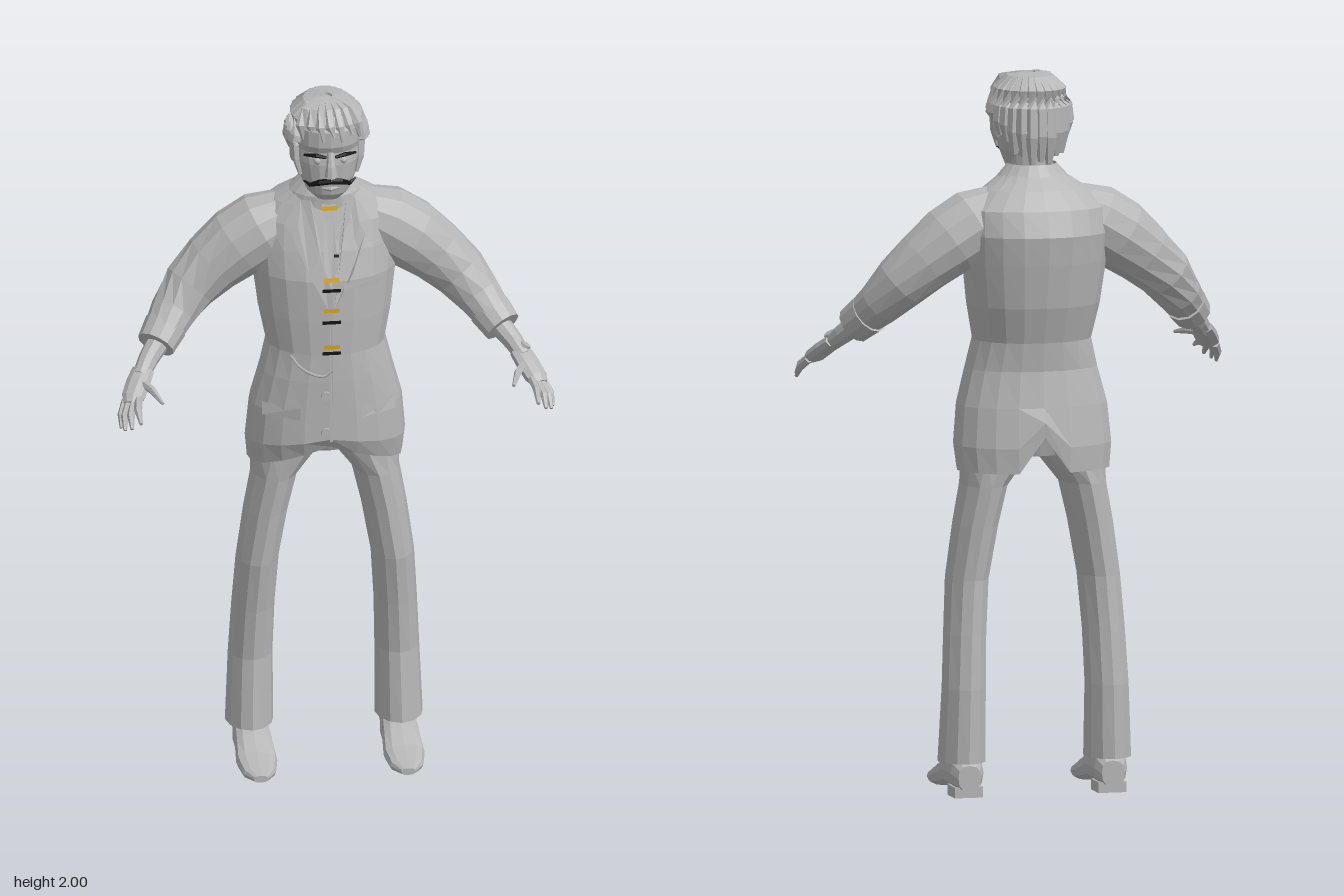
import * as THREE from 'three';

const grey = new THREE.MeshStandardMaterial({ color: 0xb6b6b6, side: THREE.DoubleSide });
grey.name = 'plain grey';
const black = new THREE.MeshStandardMaterial({ color: 0x141414, side: THREE.DoubleSide });
black.name = 'black';
const gold = new THREE.MeshStandardMaterial({ color: 0xd9a520, side: THREE.DoubleSide });
gold.name = 'gold';

const V = (x, y, z) => new THREE.Vector3(x, y, z);
const pow = (c, p) => Math.sign(c) * Math.abs(c) ** (2 / p);

// Horizontal ring from half width and front/back depth
function flatRing([y, cx, hx, zf, zb], p = 2, n = 18) {
  return Array.from({ length: n }, (_, j) => {
    const t = (j / n) * Math.PI * 2;
    return V(cx + hx * pow(Math.sin(t), p), y, (zf + zb) / 2 + ((zf - zb) / 2) * pow(Math.cos(t), p));
  });
}

// Faceted skin over a list of rings
function loft(rings, capStart = true, capEnd = true) {
  const n = rings[0].length, pts = [], idx = [];
  rings.forEach(r => r.forEach(v => pts.push(v.x, v.y, v.z)));
  for (let i = 0; i < rings.length - 1; i++) for (let j = 0; j < n; j++) {
    const a = i * n + j, b = i * n + (j + 1) % n;
    idx.push(a, b, a + n, b, b + n, a + n);
  }
  const cap = (i, flip) => {
    const c = rings[i].reduce((s, v) => s.add(v), V(0, 0, 0)).divideScalar(n);
    const k = pts.push(c.x, c.y, c.z) / 3 - 1;
    for (let j = 0; j < n; j++) {
      const a = i * n + j, b = i * n + (j + 1) % n;
      flip ? idx.push(k, b, a) : idx.push(k, a, b);
    }
  };
  if (capStart) cap(0, true);
  if (capEnd) cap(rings.length - 1, false);
  const g = new THREE.BufferGeometry();
  g.setAttribute('position', new THREE.Float32BufferAttribute(pts, 3));
  g.setIndex(idx);
  const flat = g.toNonIndexed();
  flat.computeVertexNormals();
  return flat;
}

// Limb through points [x, y, z, radius]; wide stretches it sideways
function limb(path, n = 10, wide = 1) {
  const p = path.map(a => V(a[0], a[1], a[2]));
  return loft(p.map((c, i) => {
    const t = p[Math.min(i + 1, p.length - 1)].clone().sub(p[Math.max(i - 1, 0)]).normalize();
    const ref = Math.abs(t.y) > 0.95 ? V(0, 0, 1) : V(0, 1, 0);
    const u = ref.cross(t).normalize(), v = t.clone().cross(u);
    return Array.from({ length: n }, (_, j) => {
      const a = (j / n) * Math.PI * 2;
      return c.clone().addScaledVector(u, Math.cos(a) * path[i][3] * wide).addScaledVector(v, Math.sin(a) * path[i][3]);
    });
  }));
}

// Jacket sections: y, centre x, half width, front z, back z
const JACKET = [
  [0.90, 0, 0.215, 0.05, -0.222], [0.97, 0, 0.222, 0.07, -0.226], [1.08, 0, 0.212, 0.07, -0.212],
  [1.18, 0, 0.185, 0.07, -0.198], [1.26, 0, 0.165, 0.068, -0.208], [1.36, 0, 0.185, 0.068, -0.24],
  [1.48, 0, 0.2, 0.064, -0.26], [1.56, 0, 0.205, 0.042, -0.27], [1.63, 0, 0.2, 0.015, -0.245],
  [1.68, 0, 0.145, 0.0, -0.2], [1.72, 0, 0.085, -0.005, -0.155]
];
const JP = 2.15;

// Depth of the jacket front at x, y
function frontZ(x, y) {
  let i = 0;
  while (i < JACKET.length - 2 && JACKET[i + 1][0] < y) i++;
  const a = JACKET[i], b = JACKET[i + 1], k = (y - a[0]) / (b[0] - a[0]);
  const [, , hx, zf, zb] = a.map((v, q) => v + (b[q] - v) * k);
  const s = Math.min(1, Math.abs(x) / hx);
  return (zf + zb) / 2 + ((zf - zb) / 2) * (1 - s ** JP) ** (1 / JP);
}

// Thin cloth plate laid on the jacket front
function plate(outline, lift = 0.006) {
  const g = new THREE.ShapeGeometry(new THREE.Shape(outline.map(a => new THREE.Vector2(...a))));
  const p = g.attributes.position;
  for (let i = 0; i < p.count; i++) p.setZ(i, frontZ(p.getX(i), p.getY(i)) + lift);
  const flat = g.toNonIndexed();
  flat.computeVertexNormals();
  return flat;
}
const rect = (x, y, w, h) => [[x - w, y - h], [x + w, y - h], [x + w, y + h], [x - w, y + h]];

export function createModel() {
  const model = new THREE.Group();
  const add = (name, geo, mat = grey, parent = model) => {
    const m = new THREE.Mesh(geo, mat);
    m.name = name;
    parent.add(m);
    return m;
  };

  // Jacket with cutaway front hem and back vent
  const rings = JACKET.map(s => flatRing(s, JP, 20));
  rings.slice(0, 2).forEach((r, i) => r.forEach((v, j) => {
    if (v.z > -0.08) v.y += (i ? 0.035 : 0.075) * Math.max(0, 1 - Math.abs(v.x) / 0.21);
    if (j === 10) v.y += i ? 0.07 : 0.1;
  }));
  add('jacket', loft(rings, false, true));
  add('pelvis', loft([[0.94, 0, 0.1, 0.0, -0.16], [1.0, 0, 0.17, 0.03, -0.18], [1.1, 0, 0.17, 0.04, -0.17]].map(s => flatRing(s))));
  add('collar', loft([[1.665, 0, 0.125, 0.006, -0.18], [1.71, 0, 0.1, 0.006, -0.165], [1.745, 0, 0.068, -0.01, -0.14]]
    .map(s => flatRing(s)), false, false));

  // Shirt front, tie, lapels, placket and pockets
  add('shirtFront', plate([[0, 1.46], [0.04, 1.6], [0.05, 1.7], [-0.05, 1.7], [-0.04, 1.6]], 0.004));
  add('tie', plate([[0, 1.47], [0.02, 1.52], [0.012, 1.65], [0.02, 1.69], [-0.02, 1.69], [-0.012, 1.65], [-0.02, 1.52]], 0.009));
  add('placket', plate([[-0.004, 1.0], [0.004, 1.0], [0.004, 1.26], [0.004, 1.46], [-0.004, 1.46], [-0.004, 1.26]], 0.005));
  for (const s of [-1, 1]) {
    const flip = o => o.map(([x, y]) => [x * s, y]);
    add('lapel', plate(flip([[0.008, 1.4], [0.06, 1.5], [0.1, 1.6], [0.085, 1.63], [0.105, 1.645], [0.075, 1.7], [0.05, 1.7], [0.03, 1.56]]), 0.008));
    add('pocketFlap', plate(flip(rect(0.135, 1.085, 0.05, 0.018)), 0.009));
  }
  add('breastPocket', plate(rect(0.085, 1.465, 0.05, 0.011), 0.008));
  for (const y of [1.68, 1.49, 1.4, 1.29]) add('goldTrim', plate(rect(0, y, 0.022, 0.006), 0.013), gold);
  for (const y of [1.46, 1.365, 1.272]) add('blackClasp', plate(rect(0, y, 0.026, 0.005), 0.014), black);
  add('tiePin', plate(rect(0.016, 1.555, 0.007, 0.004), 0.013), black);
  for (const y of [1.03, 1.14]) {
    const b = add('button', new THREE.CylinderGeometry(0.013, 0.013, 0.008, 10));
    b.rotation.x = Math.PI / 2;
    b.position.set(-0.015, y, frontZ(0, y) + 0.004);
  }
  const chain = [[-0.11, 1.255], [-0.085, 1.225], [-0.05, 1.205], [-0.02, 1.2], [0, 1.215]].map(([x, y]) => V(x, y, frontZ(x, y) + 0.004));
  add('watchChain', new THREE.TubeGeometry(new THREE.CatmullRomCurve3(chain), 14, 0.004, 5));

  // Arms, hands, legs and shoes
  for (const s of [-1, 1]) {
    const side = new THREE.Group();
    side.name = s > 0 ? 'leftLimbs' : 'rightLimbs';
    model.add(side);
    const path = a => a.map(([x, y, z, r]) => [x * s, y, z, r]);
    add('sleeve', limb(path([[0.1, 1.62, -0.1, 0.075], [0.17, 1.585, -0.1, 0.1], [0.24, 1.54, -0.1, 0.1],
      [0.31, 1.485, -0.095, 0.088], [0.375, 1.425, -0.08, 0.077], [0.425, 1.365, -0.045, 0.064], [0.47, 1.31, 0.01, 0.051]]), 12), grey, side);
    add('cuff', limb(path([[0.448, 1.335, -0.02, 0.06], [0.48, 1.298, 0.02, 0.054]]), 12), grey, side);
    add('forearm', limb(path([[0.46, 1.315, 0.0, 0.034], [0.505, 1.268, 0.05, 0.028], [0.53, 1.238, 0.09, 0.024]]), 9), grey, side);
    add('palm', limb(path([[0.522, 1.248, 0.075, 0.02], [0.54, 1.225, 0.11, 0.022], [0.558, 1.2, 0.145, 0.021], [0.566, 1.188, 0.165, 0.014]]), 9, 1.6), grey, side);
    const fingers = [
      [[0.545, 1.2, 0.16], [0.552, 1.19, 0.21], [0.55, 1.172, 0.262]],
      [[0.558, 1.193, 0.16], [0.572, 1.175, 0.21], [0.573, 1.15, 0.245]],
      [[0.57, 1.19, 0.155], [0.587, 1.168, 0.195], [0.59, 1.14, 0.228]],
      [[0.578, 1.19, 0.14], [0.594, 1.163, 0.175], [0.597, 1.135, 0.2]],
      [[0.532, 1.23, 0.11], [0.506, 1.227, 0.165], [0.486, 1.215, 0.228]]
    ];
    fingers.forEach((f, i) => add(i < 4 ? 'finger' : 'thumb',
      limb(path(f.map((q, k) => [...q, [0.012, 0.011, 0.005][k]])), 6), grey, side));

    add('trouserLeg', loft([
      [0.095, 0.207, 0.067, -0.015, -0.188], [0.3, 0.203, 0.062, -0.033, -0.188], [0.45, 0.197, 0.06, -0.018, -0.178],
      [0.6, 0.187, 0.06, 0.004, -0.167], [0.75, 0.163, 0.063, 0.01, -0.175], [0.86, 0.14, 0.066, 0.016, -0.182],
      [0.94, 0.108, 0.098, 0.02, -0.185], [1.05, 0.09, 0.095, 0.02, -0.18]
    ].map(([y, x, ...r]) => flatRing([y, x * s, ...r], 1.85, 12))), grey, side);

    // Shoe sections along z: z, half width, sole height, top height
    const shoe = [[-0.178, 0.032, 0.02, 0.09], [-0.15, 0.047, 0.018, 0.115], [-0.07, 0.05, 0.022, 0.115], [-0.01, 0.053, 0.012, 0.09],
      [0.05, 0.057, 0.005, 0.06], [0.11, 0.046, 0.006, 0.044], [0.15, 0.02, 0.014, 0.034]];
    add('shoe', loft(shoe.map(([z, w, lo, hi]) => Array.from({ length: 12 }, (_, j) => {
      const t = (j / 12) * Math.PI * 2;
      return V(0.204 * s + w * pow(Math.cos(t), 2.6), (lo + hi) / 2 + ((hi - lo) / 2) * pow(Math.sin(t), 2.6), z);
    }))), grey, side);
    add('shoeHeel', new THREE.BoxGeometry(0.08, 0.03, 0.08), grey, side).position.set(0.204 * s, 0.015, -0.13);
  }
  const watch = add('wristwatch', new THREE.CylinderGeometry(0.015, 0.015, 0.012, 10));
  watch.position.set(0.535, 1.265, 0.078);
  watch.rotation.z = -0.6;

  // Head and neck
  const head = new THREE.Group();
  head.name = 'head';
  model.add(head);
  add('neck', loft([[1.66, 0, 0.06, -0.02, -0.13], [1.79, 0, 0.058, -0.02, -0.13]].map(s => flatRing(s))), grey, head);
  add('skull', loft([
    [1.712, 0, 0.035, 0.024, -0.05], [1.735, 0, 0.06, 0.044, -0.09], [1.78, 0, 0.08, 0.055, -0.13], [1.83, 0, 0.092, 0.058, -0.15],
    [1.865, 0, 0.095, 0.053, -0.16], [1.885, 0, 0.097, 0.062, -0.162], [1.93, 0, 0.096, 0.062, -0.162], [1.965, 0, 0.078, 0.038, -0.14],
    [1.988, 0, 0.046, -0.005, -0.1]
  ].map(s => flatRing(s, 2.2, 20))), grey, head);
  add('nose', limb([[0, 1.868, 0.05, 0.009], [0, 1.83, 0.064, 0.013], [0, 1.803, 0.066, 0.018], [0, 1.793, 0.058, 0.012]], 8), grey, head);
  add('lowerLip', limb([[-0.025, 1.758, 0.042, 0.004], [0, 1.758, 0.052, 0.008], [0.025, 1.758, 0.042, 0.004]], 6), grey, head);
  for (const s of [-1, 1]) {
    add('eyebrow', limb([[0.012 * s, 1.857, 0.061, 0.004], [0.04 * s, 1.863, 0.057, 0.006], [0.072 * s, 1.857, 0.034, 0.003]], 6), black, head);
    add('eye', new THREE.SphereGeometry(0.011, 8, 6), grey, head).position.set(0.036 * s, 1.842, 0.046);
    add('moustache', limb([[0, 1.785, 0.063, 0.008], [0.03 * s, 1.781, 0.057, 0.009], [0.055 * s, 1.769, 0.042, 0.006], [0.072 * s, 1.778, 0.03, 0.002]], 7), black, head);
    const ear = add('ear', new THREE.SphereGeometry(0.026, 8, 6), grey, head);
    ear.scale.set(0.4, 1.2, 0.75);
    ear.position.set(0.092 * s, 1.835, -0.045);
    add('sideburn', limb([[0.09 * s, 1.89, -0.01, 0.014], [0.088 * s, 1.83, 0.0, 0.011], [0.078 * s, 1.785, 0.005, 0.005]], 6), grey, head);
  }

  // Hair locks falling from the crown, longest at the back
  for (let i = 0; i < 17; i++) {
    const a = -2.0 + i * 0.25, back = Math.max(0, Math.cos(a));
    const end = 1.875 - 0.115 * back - (i % 2) * 0.012;
    const at = (r, y, w) => [Math.sin(a) * 0.096 * r, y, -0.05 - Math.cos(a) * 0.125 * r, w];
    add('hairLock', limb([at(0.15, 1.984, 0.012), at(0.58, 1.975, 0.016), at(0.88, 1.945, 0.019), at(1, 1.905, 0.02),
      at(1.04, (1.905 + end) / 2, 0.021), at(0.99, end, 0.009)], 6), grey, head);
  }
  // Swept fringe over the forehead
  for (let i = 0; i < 7; i++) {
    const x = -0.078 + i * 0.026, bend = (x / 0.1) ** 2;
    add('fringeLock', limb([[x * 0.3, 1.985, -0.04, 0.013], [x * 0.8, 1.972, 0.018 - 0.025 * bend, 0.016],
      [x, 1.94, 0.05 - 0.05 * bend, 0.015], [x + 0.008, 1.9 + 0.015 * (i % 2), 0.06 - 0.06 * bend, 0.006]], 6), grey, head);
  }
  return model;
}
